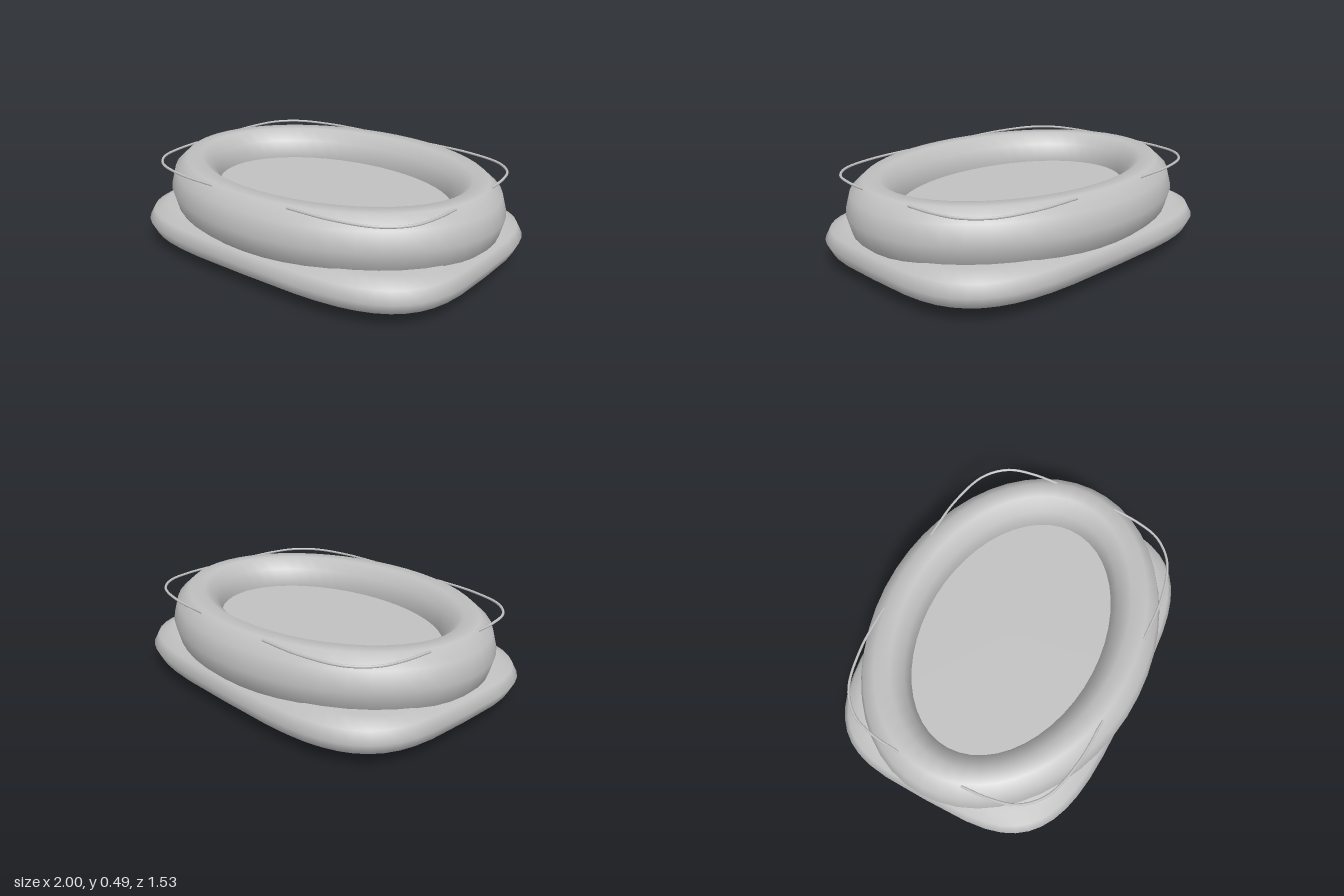
import * as THREE from 'three';

const SEGMENTS = 48;

// Point on an oval; power 2 is an ellipse, higher powers are squarer
function oval(a, b, power, t) {
  const f = (v) => Math.sign(v) * Math.pow(Math.abs(v), 2 / power);
  return [a * f(Math.cos(t)), b * f(Math.sin(t))];
}

// Skin over a list of level ovals [a, b, y], ordered from the top outwards and down
function loft(rings, power, closed) {
  const positions = [], index = [];
  for (const [a, b, y] of rings) {
    for (let i = 0; i < SEGMENTS; i++) {
      const [x, z] = oval(a, b, power, (i / SEGMENTS) * Math.PI * 2);
      positions.push(x, y, z);
    }
  }
  const rows = closed ? rings.length : rings.length - 1;
  for (let j = 0; j < rows; j++) {
    const p = j * SEGMENTS, q = ((j + 1) % rings.length) * SEGMENTS;
    for (let i = 0; i < SEGMENTS; i++) {
      const k = (i + 1) % SEGMENTS;
      index.push(p + i, p + k, q + i, p + k, q + k, q + i);
    }
  }
  const geometry = new THREE.BufferGeometry();
  geometry.setAttribute('position', new THREE.Float32BufferAttribute(positions, 3));
  geometry.setIndex(index);
  geometry.computeVertexNormals();
  return geometry;
}

// Ovals around a ten-sided tube section, from angle index `from` down to `to`
function tubeRings(a, b, y, rx, ry, from, to) {
  const rings = [];
  for (let i = from; i >= to; i--) {
    const s = (i * Math.PI) / 5;
    const d = rx * Math.cos(s);
    rings.push([a + d, b + d, y + ry * Math.sin(s)]);
  }
  return rings;
}

export function createModel() {
  const group = new THREE.Group();
  const grey = new THREE.MeshStandardMaterial({ color: 0xc0c0c0 });
  grey.name = 'rubber grey';

  const add = (name, geometry) => {
    const mesh = new THREE.Mesh(geometry, grey);
    mesh.name = name;
    group.add(mesh);
    return mesh;
  };

  // Squarish lower cushion with a gently bulging underside
  add('lowerCushion', loft([
    [0, 0, 0.235], [0.7, 0.46, 0.235],
    ...tubeRings(0.8625, 0.6075, 0.14, 0.1375, 0.1, 2, -2),
    [0.78, 0.54, 0.029], [0.58, 0.4, 0.015], [0.3, 0.2, 0.004], [0, 0, 0],
  ], 3.7, false));

  // Oval inflated ring on top
  add('upperRing', loft(tubeRings(0.8625, 0.6275, 0.33, 0.1375, 0.168, 2, -7), 2, true));

  // Floor stretched across the middle of the ring
  const floor = new THREE.CircleGeometry(1, SEGMENTS);
  floor.rotateX(-Math.PI / 2);
  floor.scale(0.74, 1, 0.505);
  floor.translate(0, 0.325, 0);
  add('floor', floor);

  // Grab cords looping round the four corners
  for (const sx of [-1, 1]) {
    for (const sz of [-1, 1]) {
      const points = [[0.25, 0.655], [0.5, 0.642], [0.72, 0.58], [0.83, 0.47], [0.87, 0.33], [0.882, 0.18]];
      const curve = new THREE.CatmullRomCurve3(
        points.map(([x, z]) => new THREE.Vector3(sx * x, 0.48, sz * z)));
      add('grabCord', new THREE.TubeGeometry(curve, 28, 0.007, 8, false));
    }
  }
  return group;
}
